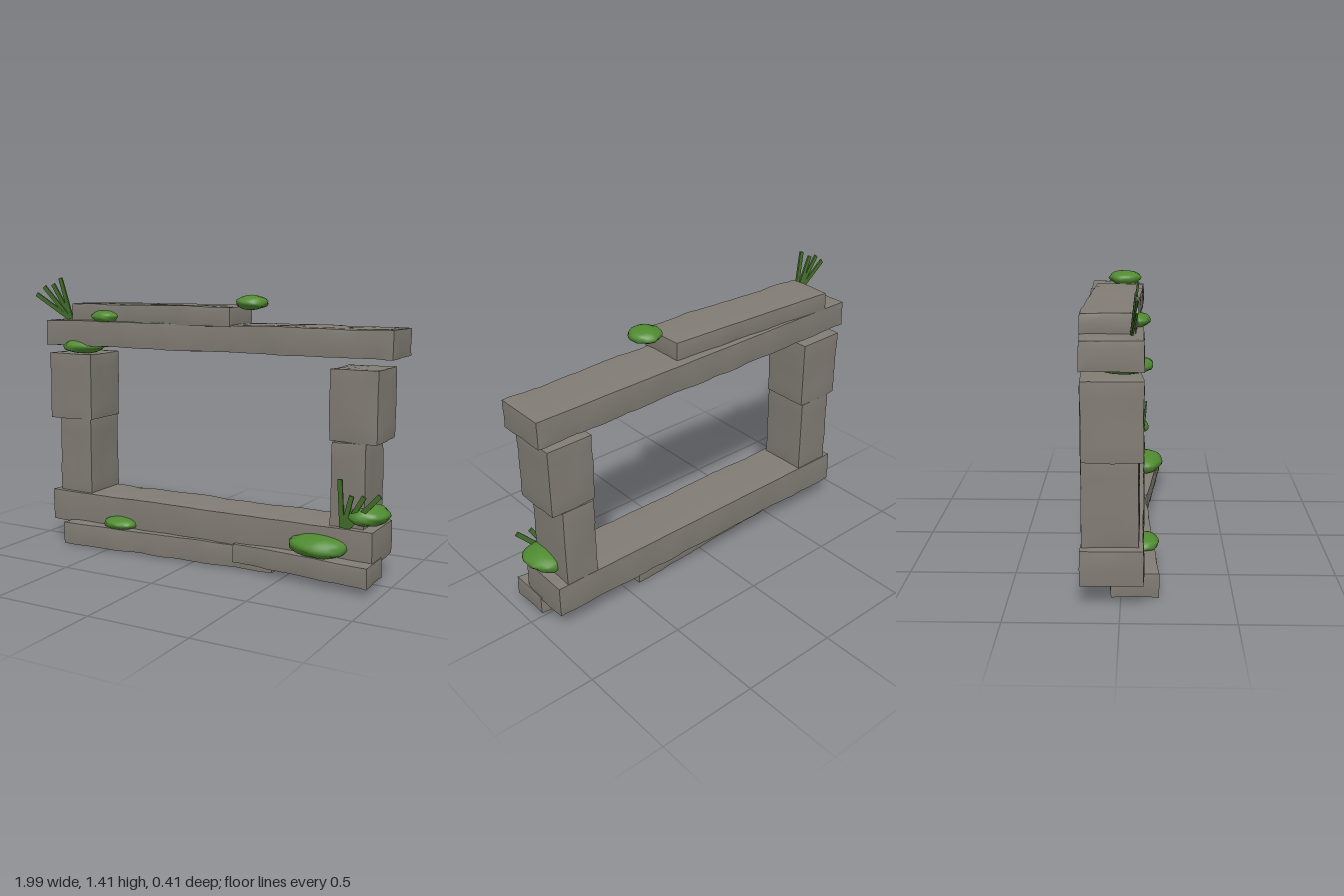
import * as THREE from 'three';
import { mergeVertices, toCreasedNormals } from 'three/addons/utils/BufferGeometryUtils.js';

const stoneMat = new THREE.MeshStandardMaterial({ name: 'grey stone', color: 0x817c74 });
const mossMat = new THREE.MeshStandardMaterial({ name: 'moss green', color: 0x4f8a30 });
const grassMat = new THREE.MeshStandardMaterial({ name: 'grass green', color: 0x446f2c });

// smooth repeatable wobble in about -1..1
const wobble = (x, y, z, s) =>
  (Math.sin(x * 11 + s * 2.3 + z * 5) + Math.sin(y * 17 + s * 1.7 + x * 7) + Math.sin(z * 19 + s * 3.1 + y * 9 + x * 23)) / 3;

// Worn stone block: x and y ranges, then [front, back] depth at its -x end and +x end
function stone(name, [x0, x1], [y0, y1], left, right, seed) {
  const w = x1 - x0, h = y1 - y0;
  const seg = (d) => Math.max(4, Math.round(d / 0.04));
  const geo = new THREE.BoxGeometry(w, h, 1, seg(w), seg(h), 6);
  const p = geo.attributes.position;
  for (let i = 0; i < p.count; i++) {
    const x = p.getX(i), y = p.getY(i), z = p.getZ(i);
    const t = x / w + 0.5;
    const front = THREE.MathUtils.lerp(left[0], right[0], t);
    const back = THREE.MathUtils.lerp(left[1], right[1], t);
    const onX = Math.abs(x) > w / 2 - 1e-4, onY = Math.abs(y) > h / 2 - 1e-4, onZ = Math.abs(z) > 0.4999;
    const n = wobble(x, y, z * 0.27, seed);
    // faces ripple a little, edges and corners are worn in further
    const edges = onX + onY + onZ;
    const wear = 0.003 + 0.003 * n + (edges > 1 ? 0.002 + 0.003 * Math.abs(wobble(x * 2, y * 2, z, seed + 4)) : 0);
    p.setXYZ(i,
      (x0 + x1) / 2 + x - (onX ? Math.sign(x) * wear : 0),
      (y0 + y1) / 2 + y - (onY ? Math.sign(y) * wear : 0),
      THREE.MathUtils.lerp(back, front, z + 0.5) - (onZ ? Math.sign(z) * wear : 0));
  }
  const mesh = new THREE.Mesh(toCreasedNormals(geo, 0.6), stoneMat);
  mesh.name = name;
  return mesh;
}

// Lumpy flattened cushion of moss
function moss(name, pos, radii, seed) {
  let geo = new THREE.IcosahedronGeometry(1, 3);
  geo.deleteAttribute('uv');
  geo.deleteAttribute('normal');
  geo = mergeVertices(geo, 1e-4);
  const p = geo.attributes.position;
  for (let i = 0; i < p.count; i++) {
    const k = 0.97 + 0.09 * wobble(p.getX(i) * 0.5, p.getY(i) * 0.4, p.getZ(i) * 0.4, seed);
    p.setXYZ(i, p.getX(i) * k * radii[0], p.getY(i) * k * radii[1], p.getZ(i) * k * radii[2]);
  }
  geo.computeVertexNormals();
  const mesh = new THREE.Mesh(geo, mossMat);
  mesh.name = name;
  mesh.position.set(...pos);
  return mesh;
}

// Tuft of straight blades, each given as [root, tip]
function tuft(name, blades) {
  const group = new THREE.Group();
  group.name = name;
  for (const [root, tip] of blades) {
    const a = new THREE.Vector3(...root), b = new THREE.Vector3(...tip);
    const dir = b.clone().sub(a);
    const blade = new THREE.Mesh(new THREE.BoxGeometry(0.023, dir.length(), 0.009), grassMat);
    blade.name = 'grassBlade';
    blade.position.copy(a).add(b).multiplyScalar(0.5);
    blade.quaternion.setFromUnitVectors(new THREE.Vector3(0, 1, 0), dir.normalize());
    group.add(blade);
  }
  return group;
}

export function createModel() {
  const model = new THREE.Group();
  model.name = 'stoneWindowFrame';

  // Stones, from the footing up
  model.add(
    stone('footingStoneRight', [-0.77, 0.435], [0, 0.125], [0.175, -0.05], [0.1, -0.12], 1),
    stone('footingStoneLeft', [0.22, 0.95], [0.03, 0.138], [0.125, -0.09], [0.195, -0.02], 2),
    stone('sill', [-0.888, 0.94], [0.108, 0.28], [0.105, -0.18], [0.105, -0.18], 3),
    stone('lowerPostRight', [-0.85, -0.64], [0.265, 0.675], [0.085, -0.175], [0.085, -0.175], 4),
    stone('upperPostRight', [-0.893, -0.63], [0.665, 1.022], [0.105, -0.17], [0.09, -0.175], 5),
    stone('lowerPostLeft', [0.71, 0.89], [0.265, 0.68], [0.08, -0.18], [0.08, -0.178], 6),
    stone('upperPostLeft', [0.697, 0.942], [0.67, 1.016], [0.08, -0.175], [0.08, -0.178], 7),
    stone('lintel', [-0.912, 1.0], [1.055, 1.197], [0.107, -0.175], [0.065, -0.208], 8),
    stone('capStone', [-0.77, 0.198], [1.18, 1.285], [0.068, -0.18], [0.1, -0.145], 9),
  );

  // Moss cushions
  model.add(
    moss('mossOnLintel', [0.265, 1.3, 0], [0.081, 0.036, 0.084], 1),
    moss('mossByCap', [-0.545, 1.216, 0.062], [0.082, 0.034, 0.065], 2),
    moss('mossUnderLintel', [-0.725, 1.057, 0.012], [0.108, 0.043, 0.13], 3),
    moss('mossOnFootingRight', [-0.445, 0.143, 0.1], [0.098, 0.034, 0.075], 4),
    moss('mossOnFootingLeft', [0.675, 0.18, 0.1], [0.15, 0.056, 0.108], 5),
    moss('mossOnSill', [0.88, 0.335, 0.01], [0.105, 0.052, 0.118], 6),
  );

  // Grass tufts
  model.add(
    tuft('upperGrassTuft', [
      [[-0.79, 1.2, 0.05], [-0.99, 1.325, 0.072]],
      [[-0.79, 1.2, 0.05], [-0.94, 1.365, 0.07]],
      [[-0.785, 1.2, 0.045], [-0.885, 1.378, 0.065]],
      [[-0.78, 1.2, 0.05], [-0.83, 1.412, 0.073]],
    ]),
    tuft('lowerGrassTuft', [
      [[0.783, 0.28, 0.088], [0.778, 0.51, 0.112]],
      [[0.79, 0.28, 0.09], [0.835, 0.437, 0.108]],
      [[0.8, 0.28, 0.09], [0.895, 0.44, 0.108]],
      [[0.81, 0.28, 0.09], [0.97, 0.452, 0.105]],
    ]),
  );
  return model;
}
